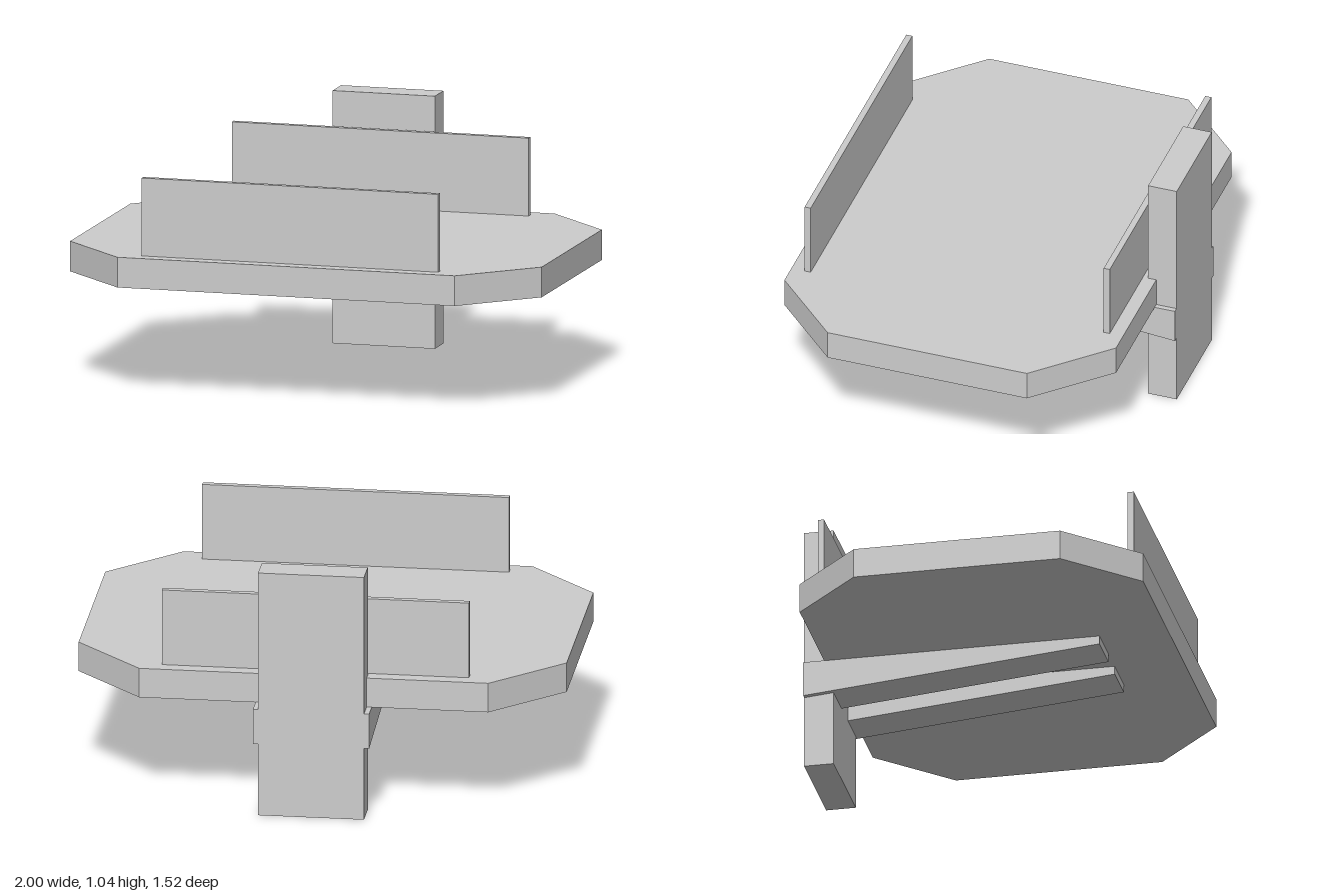
import * as THREE from 'three';

const material = new THREE.MeshStandardMaterial({ color: 0xcccccc, flatShading: true });

function add(group, name, geometry, x = 0, y = 0, z = 0) {
  const mesh = new THREE.Mesh(geometry, material);
  mesh.name = name;
  mesh.position.set(x, y, z);
  group.add(mesh);
}

// Prism from an outline of 2D points
function prism(points, depth) {
  const shape = new THREE.Shape(points.map(([a, b]) => new THREE.Vector2(a, b)));
  return new THREE.ExtrudeGeometry(shape, { depth, bevelEnabled: false });
}

export function createModel() {
  const group = new THREE.Group();
  group.name = 'wallPlatform';

  // Octagonal deck, outline in (x, -z)
  const deck = prism([
    [-0.715, -0.757], [0.715, -0.757], [1, -0.472], [1, 0.385],
    [0.715, 0.67], [-0.715, 0.67], [-1, 0.385], [-1, -0.472],
  ], 0.125).rotateX(-Math.PI / 2);
  add(group, 'deck', deck, 0, 0.455, 0);

  // Upright panels at the front and back of the deck
  const panel = new THREE.BoxGeometry(1.258, 0.322, 0.026);
  add(group, 'frontPanel', panel, 0, 0.741, 0.687);
  add(group, 'backPanel', panel, 0, 0.741, -0.6);

  // Rear post
  add(group, 'post', new THREE.BoxGeometry(0.434, 1.045, 0.123), 0, 0.5225, -0.6965);

  // Tapered brackets under the deck, outline in (z, y)
  const bracketWidth = 0.178;
  const bracket = prism([
    [-0.757, 0.307], [0.474, 0.42], [0.474, 0.456], [-0.757, 0.456],
  ], bracketWidth).translate(0, 0, -bracketWidth / 2).rotateY(-Math.PI / 2);
  for (const side of [1, -1]) {
    add(group, side > 0 ? 'leftBracket' : 'rightBracket', bracket, side * 0.149, 0, 0);
  }

  return group;
}
